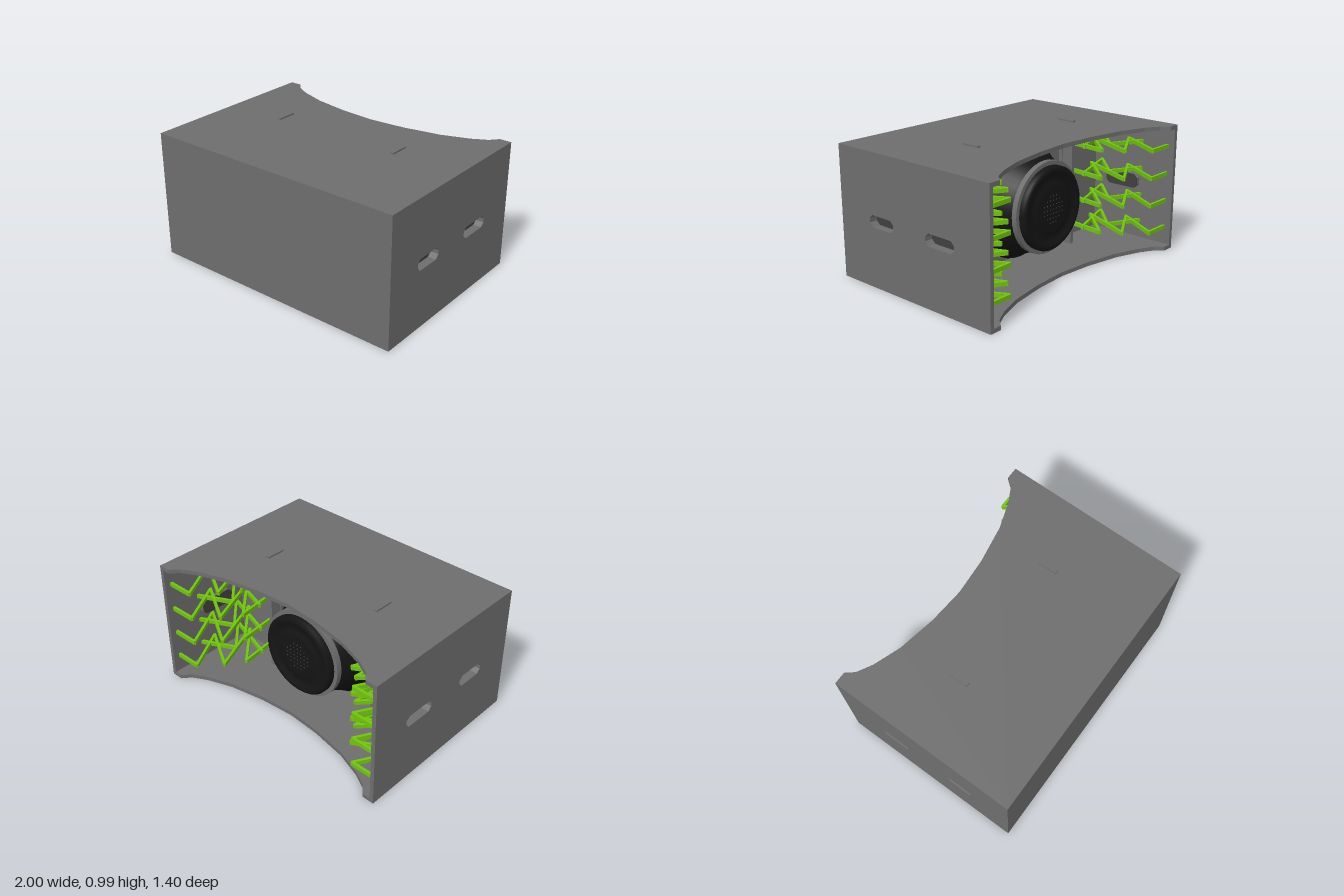
import * as THREE from 'three';

const mat = (name, color) => Object.assign(new THREE.MeshStandardMaterial({ color }), { name });

export function createModel() {
  const gray = mat('cabinet gray', 0x6e6e6e);
  const dark = mat('handle recess dark gray', 0x404040);
  const black = mat('driver black', 0x141414);
  const green = mat('brace green', 0x72c40e);
  const root = new THREE.Group();
  root.name = 'speakerCabinet';

  const T = 0.03, H = 0.96, D = 0.7;
  const add = (name, geo, material, x = 0, y = 0, z = 0, parent = root) => {
    const m = new THREE.Mesh(geo, material);
    m.name = name;
    m.position.set(x, y, z);
    parent.add(m);
    return m;
  };
  const box = (name, w, h, d, x, y, z, material = gray, parent = root) =>
    add(name, new THREE.BoxGeometry(w, h, d), material, x, y, z, parent);
  const extrude = (shape, depth) =>
    new THREE.ExtrudeGeometry(shape, { depth, bevelEnabled: false });

  // Top and bottom panels with the curved rear cut-out
  const half = [[0.91, 0.7], [0.86, 0.64], [0.75, 0.58], [0.55, 0.51], [0.27, 0.46]];
  const outline = [[-1, -D], [1, -D], [1, D], ...half, [0, 0.44],
    ...half.map(([x, y]) => [-x, y]).reverse(), [-1, D]];
  const panel = new THREE.Shape(outline.map(p => new THREE.Vector2(...p)));
  const panelGeo = extrude(panel, T).rotateX(-Math.PI / 2);
  add('bottomPanel', panelGeo, gray);
  add('topPanel', panelGeo, gray, 0, H - T, 0);

  // Front panel and the inner baffle that carries the driver
  box('frontPanel', 2, H - 2 * T, T, 0, H / 2, D - T / 2);
  box('baffle', 2 - 2 * T, H - 2 * T, T, 0, H / 2, 0.025);

  // Side panels with two chamfered handle slots each
  const slot = (a0, a1, grow = 0) => {
    const x0 = a0 - grow, x1 = a1 + grow, y0 = 0.437 - grow, y1 = 0.523 + grow, c = 0.028;
    return [[x0 + c, y0], [x1 - c, y0], [x1, y0 + c], [x1, y1 - c],
      [x1 - c, y1], [x0 + c, y1], [x0, y1 - c], [x0, y0 + c]].map(p => new THREE.Vector2(...p));
  };
  const slots = [[-0.405, -0.17], [0.137, 0.395]];
  const side = new THREE.Shape([[-D + T, T], [D, T], [D, H - T], [-D + T, H - T]]
    .map(p => new THREE.Vector2(...p)));
  slots.forEach(s => side.holes.push(new THREE.Path(slot(...s))));
  const sideGeo = extrude(side, T).rotateY(Math.PI / 2);
  for (const s of [-1, 1]) {
    add('sidePanel', sideGeo, gray, s > 0 ? 1 - T : -1, 0, 0);
    for (const [a, b] of slots) {
      const rim = new THREE.Shape(slot(a, b, 0.012));
      rim.holes.push(new THREE.Path(slot(a, b)));
      add('handleRim', extrude(rim, 0.03).rotateY(Math.PI / 2), gray, s > 0 ? 0.94 : -0.97);
      add('handleBack', extrude(new THREE.Shape(slot(a, b, 0.012)), 0.008).rotateY(Math.PI / 2),
        dark, s > 0 ? 0.932 : -0.94);
    }
  }

  // Upright frames beside the driver, with loose tabs above the lid
  for (const s of [-1, 1]) {
    const x = s * 0.5;
    for (const z of [-0.115, -0.02]) box('framePost', 0.03, H - 2 * T, 0.03, x, H / 2, z);
    for (const y of [0.045, H - 0.045]) box('frameRail', 0.03, 0.03, 0.14, x, y, -0.06);
    box('framePanel', 0.012, H - 2 * T, 0.11, x, H / 2, -0.06);
    box('topTab', 0.03, 0.012, 0.145, x, 0.982, -0.06);
  }

  // Zigzag braces on four levels in each side port
  const path = [[0.97, -0.645], [0.77, -0.645], [0.965, -0.3], [0.63, -0.5],
    [0.82, -0.06], [0.54, -0.36], [0.58, -0.04]];
  const cross = [[0.97, -0.42], [0.72, -0.3], [0.96, -0.06], [0.54, -0.2]];
  for (const s of [-1, 1]) {
    const ports = new THREE.Group();
    ports.name = 'portBraces';
    root.add(ports);
    for (const y of [0.165, 0.375, 0.585, 0.795]) {
      for (const line of [path, cross]) {
        for (let i = 0; i + 1 < line.length; i++) {
          const [x0, z0] = line[i], [x1, z1] = line[i + 1];
          const dx = s * (x1 - x0), dz = z1 - z0;
          const bar = box('braceBar', 0.02, 0.03, Math.hypot(dx, dz) + 0.01,
            s * (x0 + x1) / 2, y, (z0 + z1) / 2, green, ports);
          bar.rotation.y = Math.atan2(dx, dz);
        }
      }
    }
  }

  // Driver, built along +y and turned to face the back
  const driver = new THREE.Group();
  driver.name = 'driver';
  driver.position.set(0, H / 2, 0);
  driver.rotation.x = -Math.PI / 2;
  root.add(driver);
  const lathe = (name, pts, material) => add(name, new THREE.LatheGeometry(
    pts.map(p => new THREE.Vector2(...p)), 40), material, 0, 0, 0, driver);
  lathe('basket', [[0.43, -0.01], [0.43, 0.05], [0.4, 0.06], [0.38, 0.13], [0.33, 0.24], [0.3, 0.28]], black);
  lathe('magnetRing', [[0.3, 0.27], [0.335, 0.27], [0.335, 0.27], [0.335, 0.31], [0.335, 0.31], [0.28, 0.31]], gray);
  lathe('magnetCover', [[0.305, 0.3], [0.305, 0.345], [0.29, 0.36], [0.26, 0.36], [0.245, 0.345],
    [0.2, 0.34], [0.19, 0.35], [0.15, 0.355], [0, 0.355]], black);

  // Grid of small vent dots on the cover
  const dotGeo = new THREE.CylinderGeometry(0.005, 0.005, 0.004, 6);
  for (let i = -3; i <= 3; i++) for (let j = -3; j <= 3; j++) {
    if (Math.hypot(i, j) < 3.5) add('ventDot', dotGeo, dark, i * 0.032, 0.356, j * 0.032, driver);
  }
  return root;
}
